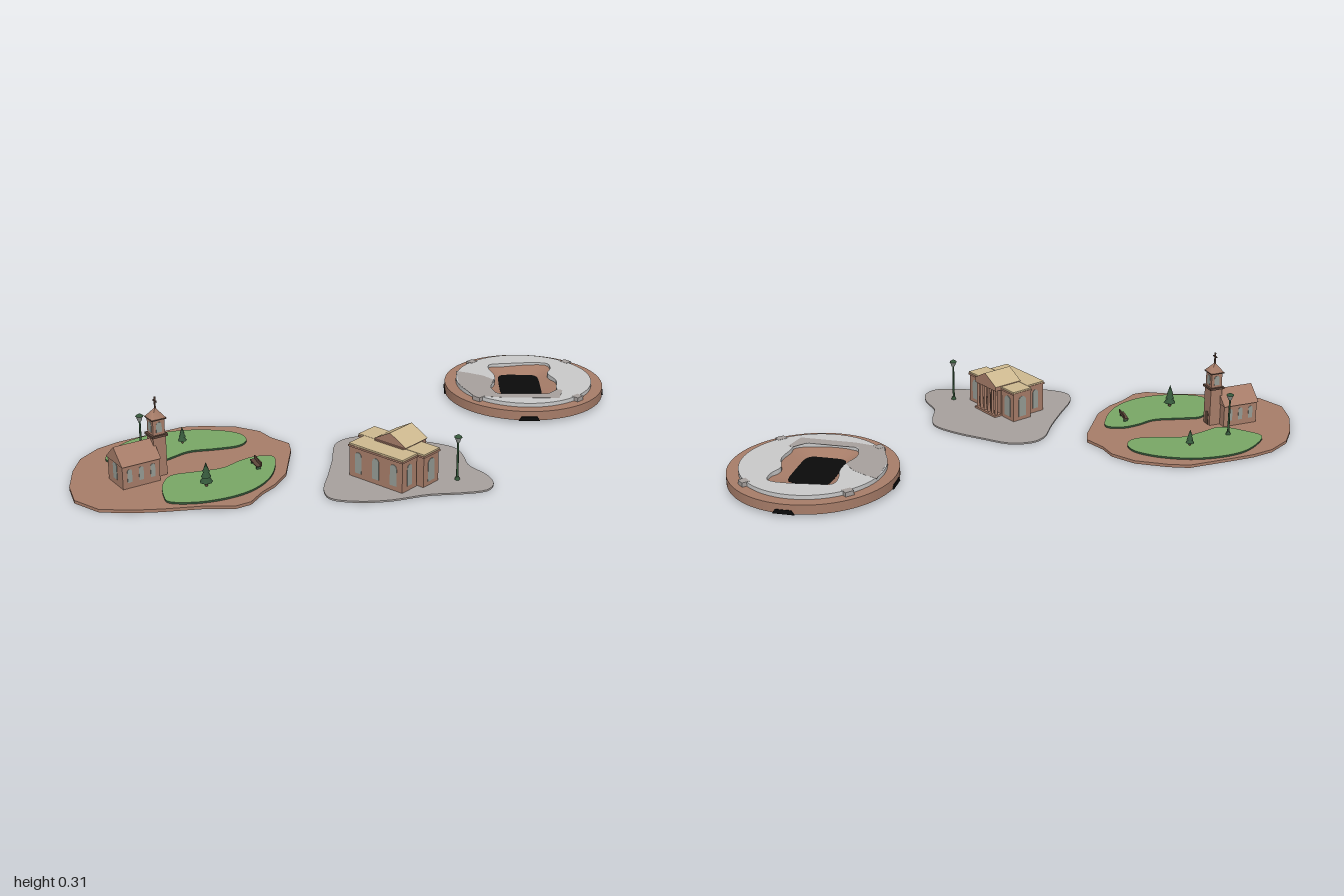
import * as THREE from 'three';

const mat = (name, color) => Object.assign(new THREE.MeshStandardMaterial({ color }), { name });
const brick = mat('brick', 0xa67c68), grass = mat('grass', 0x78a665), hedge = mat('dark green', 0x35573a),
  sand = mat('sand roof', 0xcdb88f), stone = mat('stone', 0xa6a09d), pale = mat('pale grey', 0xc8c8c8),
  black = mat('black', 0x0a0a0a), glass = mat('window grey', 0x959b94), timber = mat('timber', 0x5e463a);

function add(parent, name, geo, material, x = 0, y = 0, z = 0, ry = 0) {
  const m = new THREE.Mesh(geo, material);
  m.name = name;
  m.position.set(x, y, z);
  m.rotation.y = ry;
  parent.add(m);
  return m;
}
function group(parent, name, x, y, z, ry = 0) {
  const g = new THREE.Group();
  g.name = name;
  g.position.set(x, y, z);
  g.rotation.y = ry;
  parent.add(g);
  return g;
}
const box = (w, h, d) => new THREE.BoxGeometry(w, h, d).translate(0, h / 2, 0);
const cyl = (r1, r2, h, n = 10) => new THREE.CylinderGeometry(r1, r2, h, n).translate(0, h / 2, 0);

// ground outlines are [x, z] pairs, extruded upwards
const outline = (pts, smooth) => {
  const v = pts.map(([x, z]) => new THREE.Vector3(x, -z, 0));
  const q = smooth ? new THREE.CatmullRomCurve3(v, true).getPoints(72).slice(0, -1) : v;
  return q.map(p => new THREE.Vector2(p.x, p.y));
};
const slab = (shape, h) => new THREE.ExtrudeGeometry(shape, { depth: h, bevelEnabled: false, curveSegments: 64 }).rotateX(-Math.PI / 2);
const circle = r => new THREE.Shape().absarc(0, 0, r, 0, Math.PI * 2);

// triangular prism, ridge along z
function gable(w, h, d) {
  const s = new THREE.Shape([[-w / 2, 0], [w / 2, 0], [0, h]].map(p => new THREE.Vector2(...p)));
  return new THREE.ExtrudeGeometry(s, { depth: d, bevelEnabled: false }).translate(0, 0, -d / 2);
}
// arched panel facing +z
function arch(w, h) {
  const s = new THREE.Shape().moveTo(-w / 2, 0).lineTo(w / 2, 0).lineTo(w / 2, h - w / 2);
  s.absarc(0, h - w / 2, w / 2, 0, Math.PI);
  return new THREE.ExtrudeGeometry(s, { depth: 0.003, bevelEnabled: false, curveSegments: 6 });
}
// rounded rectangle ring of n points
const squircle = (a, b, n = 48) => Array.from({ length: n }, (_, i) => {
  const t = i / n * Math.PI * 2, c = Math.cos(t), s = Math.sin(t);
  return [a * Math.sign(c) * Math.abs(c) ** 0.35, b * Math.sign(s) * Math.abs(s) ** 0.35];
});

function arena(root) {
  const g = group(root, 'arena', 0.68, 0, -0.415);
  const ring = circle(0.317);
  ring.holes.push(new THREE.Path().absarc(0, 0, 0.26, 0, Math.PI * 2, true));
  add(g, 'outerWall', slab(ring, 0.037), brick, 0, 0.012);
  add(g, 'underside', slab(circle(0.28), 0.002), black, 0, 0.0105);
  // roof disc with a wavy opening
  const roof = circle(0.272);
  const hole = [[.553, -.567], [.618, -.583], [.79, -.588], [.8, -.53], [.783, -.476], [.81, -.396], [.803, -.316],
    [.803, -.278], [.767, -.251], [.564, -.251], [.543, -.316], [.564, -.396], [.564, -.46], [.548, -.519]]
    .map(([x, z]) => [x - 0.68, z + 0.415]);
  roof.holes.push(new THREE.Path(outline(hole, true)));
  add(g, 'roof', slab(roof, 0.018), pale, 0, 0.047);
  const shade = [[-.268, -.077], [-.263, .07], [-.212, .195], [-.09, .213], [.125, .213], [.145, .127],
    [.122, .125], [.085, .168], [-.118, .17], [-.14, .1], [-.12, .02], [-.16, -.025], [-.215, -.055]];
  add(g, 'roofPatch', slab(new THREE.Shape(outline(shade, false)), 0.001), stone, 0, 0.0645);
  // seats slope from the roof opening down to the field
  const n = 48, pos = [], idx = [];
  squircle(0.152, 0.19).forEach(([x, z]) => pos.push(x, 0.058, z));
  squircle(0.082, 0.118).forEach(([x, z]) => pos.push(x - 0.014, 0.034, z + 0.002));
  for (let i = 0; i < n; i++) {
    const j = (i + 1) % n;
    idx.push(i, n + i, j, j, n + i, n + j);
  }
  const bowl = new THREE.BufferGeometry();
  bowl.setAttribute('position', new THREE.Float32BufferAttribute(pos, 3));
  bowl.setIndex(idx);
  bowl.computeVertexNormals();
  // outer ring runs clockwise from above, so flip to face up
  if (bowl.attributes.normal.getY(0) < 0) { bowl.setIndex(idx.reverse()); bowl.computeVertexNormals(); }
  add(g, 'seats', bowl, brick);
  add(g, 'field', slab(new THREE.Shape(outline(squircle(0.083, 0.119), false)), 0.002), black, -0.014, 0.033, 0.002);
  // four gates and four rim blocks
  for (let i = 0; i < 4; i++) {
    const a = i * Math.PI / 2, b = a + 0.8;
    const s = new THREE.Shape([[-.041, 0], [.041, 0], [.03, .017], [-.03, .017]].map(p => new THREE.Vector2(...p)));
    const gate = new THREE.ExtrudeGeometry(s, { depth: 0.008, bevelEnabled: false });
    add(g, 'gate', gate, black, Math.sin(a) * 0.311, 0.0105, Math.cos(a) * 0.311, a);
    add(g, 'rimBlock', box(0.035, 0.017, 0.03), stone, Math.sin(b) * 0.275, 0.049, Math.cos(b) * 0.275, b);
  }
}

function church(root) {
  const g = group(root, 'church', -0.767, 0.012, 0.471, 0.607);
  add(g, 'nave', box(0.145, 0.09, 0.115), brick);
  add(g, 'naveRoof', gable(0.13, 0.057, 0.152), brick, 0, 0.086, 0, Math.PI / 2);
  add(g, 'underside', box(0.15, 0.001, 0.12), black, 0, -0.012);
  for (const s of [1, -1]) {
    for (const x of [-0.045, 0, 0.045])
      add(g, 'naveWindow', arch(0.018, 0.05), glass, x, 0.022, s * 0.056, s > 0 ? 0 : Math.PI);
  }
  add(g, 'rearWindow', arch(0.03, 0.065), glass, -0.071, 0.022, 0, -Math.PI / 2);
  // tower with belt, belfry, spire and cross
  const t = group(g, 'tower', 0.093, 0, 0);
  add(t, 'shaft', box(0.05, 0.155, 0.05), brick);
  add(t, 'belt', box(0.062, 0.008, 0.062), timber, 0, 0.15);
  add(t, 'belfry', box(0.046, 0.062, 0.046), brick, 0, 0.156);
  add(t, 'eaves', box(0.058, 0.004, 0.058), timber, 0, 0.215);
  add(t, 'spire', new THREE.ConeGeometry(0.04, 0.037, 4).toNonIndexed().rotateY(Math.PI / 4), brick, 0, 0.2365);
  add(t, 'crossPost', box(0.005, 0.045, 0.005), timber, 0, 0.25);
  add(t, 'crossBar', box(0.005, 0.005, 0.024), timber, 0, 0.277);
  for (let i = 0; i < 4; i++) {
    const a = i * Math.PI / 2;
    add(t, 'belfryOpening', arch(0.022, 0.038), glass, Math.sin(a) * 0.0215, 0.168, Math.cos(a) * 0.0215, a);
  }
  add(t, 'door', arch(0.026, 0.055), timber, 0.0235, 0, 0, Math.PI / 2);
}

function hall(root) {
  const g = group(root, 'hall', 0.152, 0.007, 0.406, Math.PI - 0.687);
  // flat-roofed block: size and centre
  const block = (name, w, d, x, z) => {
    add(g, name, box(w, 0.117, d), brick, x, 0, z);
    add(g, name + 'Cornice', box(w + 0.008, 0.007, d + 0.008), brick, x, 0.113, z);
    add(g, name + 'Roof', box(w + 0.004, 0.006, d + 0.004), sand, x, 0.12, z);
  };
  block('rearBlock', 0.24, 0.08, 0, -0.062);
  add(g, 'core', box(0.13, 0.13, 0.1), brick, 0, 0, 0.02);
  for (const s of [1, -1]) {
    block('wing', 0.078, 0.085, s * 0.108, 0.026);
    add(g, 'wingWindow', arch(0.036, 0.085), glass, s * 0.108, 0.015, 0.067);
    add(g, 'wingSideWindow', arch(0.036, 0.085), glass, s * 0.1455, 0.015, 0.026, s * Math.PI / 2);
    add(g, 'rearSideWindow', arch(0.026, 0.08), glass, s * 0.1185, 0.018, -0.062, s * Math.PI / 2);
  }
  for (const x of [-0.08, 0, 0.08]) add(g, 'rearWindow', arch(0.03, 0.08), glass, x, 0.018, -0.1005, Math.PI);
  // portico with columns under a pitched roof
  add(g, 'porticoStep', box(0.136, 0.008, 0.035), brick, 0, 0, 0.085);
  add(g, 'entablature', box(0.136, 0.02, 0.122), brick, 0, 0.112, 0.037);
  add(g, 'gableRoof', gable(0.145, 0.04, 0.125), [brick, sand], 0, 0.131, 0.038);
  for (let i = 0; i < 6; i++) add(g, 'column', cyl(0.005, 0.006, 0.106), brick, -0.06 + i * 0.024, 0.007, 0.09);
  add(g, 'door', arch(0.026, 0.075), timber, 0, 0.007, 0.069);
  for (const [w, d, z] of [[0.24, 0.08, -0.062], [0.29, 0.085, 0.026]])
    add(g, 'underside', box(w, 0.001, d), black, 0, -0.007, z);
}

function lamp(root, x, y, z) {
  const g = group(root, 'streetLamp', x, y, z);
  add(g, 'foot', cyl(0.006, 0.01, 0.012, 8), hedge);
  add(g, 'post', cyl(0.0035, 0.0045, 0.145, 8), hedge);
  add(g, 'lantern', cyl(0.014, 0.007, 0.02, 6), glass, 0, 0.145);
  add(g, 'cap', cyl(0.003, 0.016, 0.009, 6), hedge, 0, 0.164);
}

function tree(root, x, z, h) {
  const g = group(root, 'tree', x, 0.018, z);
  add(g, 'trunk', cyl(h * 0.06, h * 0.07, h * 0.25, 6), timber);
  for (let i = 0; i < 3; i++)
    add(g, 'foliage', cyl(0, h * (0.26 - i * 0.06), h * 0.4, 7), hedge, 0, h * (0.18 + i * 0.21), 0, i);
}

function bench(root) {
  const g = group(root, 'bench', -0.345, 0.018, 0.364, 0.42);
  add(g, 'seat', box(0.018, 0.004, 0.072), timber, 0, 0.011);
  add(g, 'backrest', box(0.004, 0.014, 0.072), timber, 0.009, 0.014);
  for (const s of [1, -1]) add(g, 'leg', box(0.016, 0.012, 0.005), hedge, 0, 0, s * 0.028);
}

export function createModel() {
  const root = new THREE.Group();
  root.name = 'townSquares';

  // churchyard ground with two lawns
  const yard = [[-.575, -.02], [-.45, -.016], [-.355, .027], [-.31, .085], [-.238, .14], [-.227, .2], [-.233, .406],
    [-.265, .5], [-.307, .567], [-.34, .647], [-.388, .68], [-.505, .685], [-.64, .71], [-.735, .72], [-.853, .717],
    [-.95, .647], [-.987, .54], [-1, .406], [-.992, .3], [-.944, .203], [-.88, .14], [-.8, .085], [-.655, -.01]];
  const lawns = [
    [[-.895, .315], [-.885, .235], [-.837, .144], [-.746, .075], [-.64, .037], [-.505, .037], [-.425, .07],
      [-.398, .128], [-.42, .176], [-.505, .209], [-.6, .235], [-.666, .3], [-.73, .364], [-.826, .348]],
    [[-.644, .62], [-.66, .524], [-.64, .45], [-.56, .417], [-.463, .38], [-.41, .32], [-.356, .278],
      [-.291, .273], [-.275, .353], [-.291, .47], [-.345, .567], [-.425, .63], [-.532, .668], [-.623, .663]]];
  add(root, 'churchyard', slab(new THREE.Shape(outline(yard, false)), 0.0115), brick, 0, 0.0005);
  for (const l of lawns) {
    const s = new THREE.Shape(outline(l, true));
    add(root, 'lawn', slab(s, 0.008), [grass, hedge], 0, 0.011);
    add(root, 'lawnUnderside', slab(s, 0.001), black);
  }

  // paved square
  const square = [[-.067, .14], [-.035, .086], [.045, .053], [.163, .075], [.297, .112], [.382, .16], [.41, .235],
    [.425, .316], [.484, .396], [.505, .47], [.479, .524], [.393, .55], [.27, .567], [.136, .615], [.019, .626],
    [-.067, .604], [-.094, .54], [-.083, .406], [-.072, .273]];
  add(root, 'pavedSquare', slab(new THREE.Shape(outline(square, true)), 0.0065), stone, 0, 0.0005);

  arena(root);
  church(root);
  hall(root);
  lamp(root, 0.377, 0.007, 0.44);
  lamp(root, -0.767, 0.019, 0.297);
  tree(root, -0.505, 0.535, 0.092);
  tree(root, -0.634, 0.16, 0.066);
  bench(root);
  return root;
}
